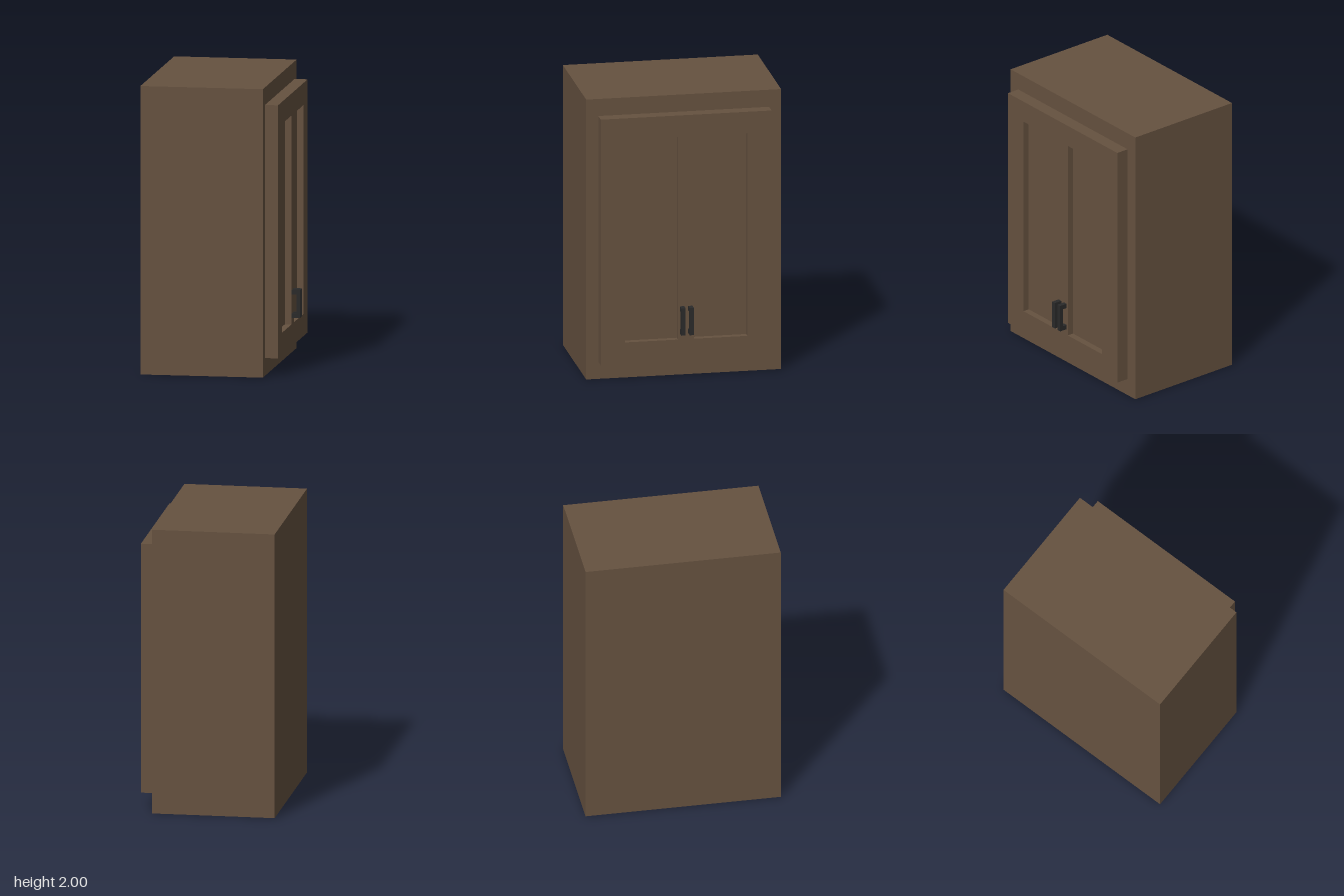
import * as THREE from 'three';

const wood = new THREE.MeshStandardMaterial({ color: 0x665240 });
const metal = new THREE.MeshStandardMaterial({ color: 0x2a2a2a });

// Box given by its min and max corners
function box(name, material, [x0, y0, z0], [x1, y1, z1]) {
  const mesh = new THREE.Mesh(new THREE.BoxGeometry(x1 - x0, y1 - y0, z1 - z0), material);
  mesh.position.set((x0 + x1) / 2, (y0 + y1) / 2, (z0 + z1) / 2);
  mesh.name = name;
  return mesh;
}

function rect(path, x0, y0, x1, y1) {
  path.moveTo(x0, y0);
  path.lineTo(x1, y0);
  path.lineTo(x1, y1);
  path.lineTo(x0, y1);
  path.closePath();
  return path;
}

export function createModel() {
  const group = new THREE.Group();
  group.name = 'wallCabinet';

  const bodyFront = 0.352, panelFront = 0.397, doorFront = 0.443;

  // Cabinet body; the doors are on the +x side
  group.add(box('cabinetBody', wood, [-0.5, 0, -0.68], [bodyFront, 2, 0.68]));

  // Door frame with two tall openings
  const frame = rect(new THREE.Shape(), -0.596, 0.123, 0.596, 1.878);
  frame.holes.push(rect(new THREE.Path(), -0.427, 0.277, -0.056, 1.725));
  frame.holes.push(rect(new THREE.Path(), 0.056, 0.277, 0.427, 1.725));
  const frameGeometry = new THREE.ExtrudeGeometry(frame, { depth: doorFront - bodyFront, bevelEnabled: false });
  frameGeometry.rotateY(Math.PI / 2);
  const doorFrame = new THREE.Mesh(frameGeometry, wood);
  doorFrame.position.x = bodyFront;
  doorFrame.name = 'doorFrame';
  group.add(doorFrame);

  for (const [side, s] of [['left', -1], ['right', 1]]) {
    // Recessed panel filling the opening
    const z = s * 0.2415;
    group.add(box(side + 'DoorPanel', wood, [bodyFront, 0.277, z - 0.1855], [panelFront, 1.725, z + 0.1855]));

    // Square-section pull handle: grip and two posts
    const handle = new THREE.Group();
    handle.name = side + 'Handle';
    const z0 = s * 0.029 - 0.015, z1 = z0 + 0.03;
    handle.add(box('grip', metal, [0.475, 0.32, z0], [0.5, 0.514, z1]));
    handle.add(box('lowerPost', metal, [doorFront, 0.32, z0], [0.475, 0.352, z1]));
    handle.add(box('upperPost', metal, [doorFront, 0.482, z0], [0.475, 0.514, z1]));
    group.add(handle);
  }
  return group;
}
